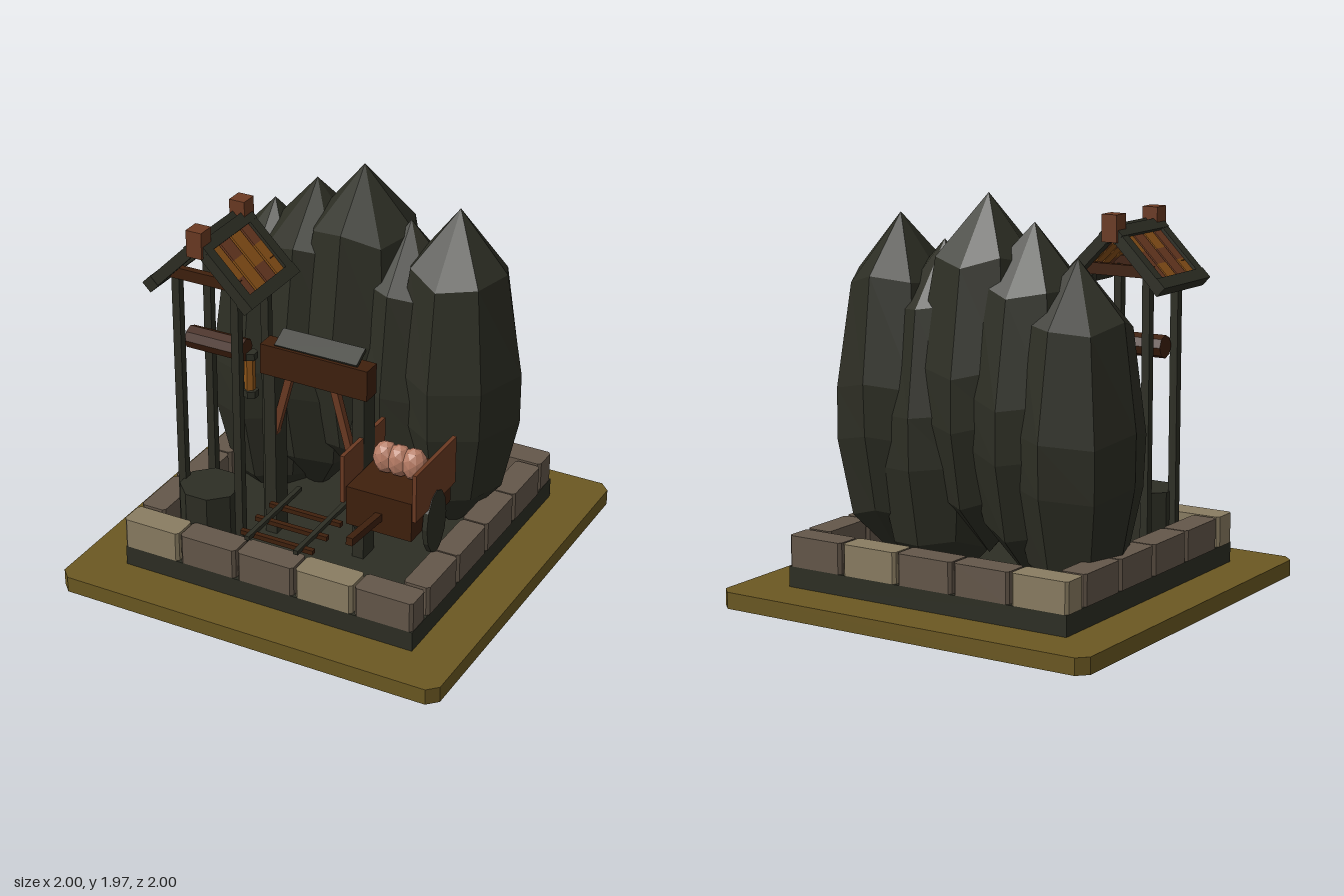
import * as THREE from 'three';

export function createModel() {
  const model = new THREE.Group();
  const mat = (name, color) => {
    const m = new THREE.MeshStandardMaterial({ color });
    m.name = name;
    return m;
  };
  const earth = mat('earth', 0x6b5822);
  const rock = mat('dark rock', 0x2d2e24);
  const stone = mat('stone', 0x64574a);
  const paleStone = mat('pale stone', 0x8a7d62);
  const darkWood = mat('dark wood', 0x3f200d);
  const redWood = mat('red wood', 0x6b3a22);
  const amber = mat('amber wood', 0x8a5218);
  const oreColor = mat('ore', 0xb47a63);

  // Adds a faceted mesh
  const add = (parent, name, geo, material, x = 0, y = 0, z = 0) => {
    const g = geo.index ? geo.toNonIndexed() : geo;
    g.computeVertexNormals();
    const mesh = new THREE.Mesh(g, material);
    mesh.name = name;
    mesh.position.set(x, y, z);
    parent.add(mesh);
    return mesh;
  };
  // Box given by its limits
  const box = (parent, name, material, x0, x1, y0, y1, z0, z1) =>
    add(parent, name, new THREE.BoxGeometry(x1 - x0, y1 - y0, z1 - z0), material,
      (x0 + x1) / 2, (y0 + y1) / 2, (z0 + z1) / 2);
  // Rectangular slab with cut vertical corners, standing on y
  const slab = (parent, name, material, x0, x1, y0, y1, z0, z1, c) => {
    const w = (x1 - x0) / 2, d = (z1 - z0) / 2;
    const pts = [[-w + c, -d], [w - c, -d], [w, -d + c], [w, d - c], [w - c, d], [-w + c, d], [-w, d - c], [-w, -d + c]];
    const geo = new THREE.ExtrudeGeometry(new THREE.Shape(pts.map(p => new THREE.Vector2(...p))),
      { depth: y1 - y0, bevelEnabled: false }).rotateX(-Math.PI / 2);
    return add(parent, name, geo, material, (x0 + x1) / 2, y0, (z0 + z1) / 2);
  };

  // Ground
  slab(model, 'base', earth, -1, 1, 0, 0.08, -1, 1, 0.05);
  box(model, 'foundation', rock, -0.765, 0.765, 0.08, 0.18, -0.765, 0.765);

  // Stone border
  const border = new THREE.Group();
  border.name = 'stoneBorder';
  model.add(border);
  for (let i = 0; i < 5; i++) {
    const x = -0.77 + i * 0.309;
    for (const z of [-0.765, 0.63]) {
      slab(border, 'borderStone', i % 3 === 0 ? paleStone : stone, x, x + 0.297, 0.18, 0.33, z, z + 0.135, 0.014);
    }
  }
  for (const x of [-0.77, 0.64]) {
    for (let i = 0; i < 4; i++) {
      const z = -0.613 + i * 0.308;
      slab(border, 'borderStone', stone, x, x + 0.13, 0.18, 0.33, z, z + 0.3, 0.014);
    }
  }

  // Rock spires: [x, tip height]
  const profile = [[0, -0.85], [0.24, -0.57], [0.32, -0.2], [0.325, 0.05], [0.25, 0.55], [0, 0.85]];
  [[-0.49, 1.67], [-0.26, 1.82], [-0.01, 1.94], [0.235, 1.71], [0.485, 1.82]].forEach(([x, top], k) => {
    const geo = new THREE.LatheGeometry(profile.map(p => new THREE.Vector2(...p)), 8);
    const p = geo.attributes.position;
    for (let i = 0; i < p.count; i++) {
      // Gentle unevenness that depends on position, so the seam stays closed
      const a = Math.atan2(p.getX(i), p.getZ(i)), y = p.getY(i);
      const s = 1 + 0.045 * Math.cos(2 * a + y * 2 + k) * (Math.abs(y) < 0.8 ? 1 : 0);
      p.setXYZ(i, p.getX(i) * s, y + (Math.abs(y) < 0.8 ? 0.03 * Math.sin(3 * a + k) : 0), p.getZ(i) * s);
    }
    add(model, 'rockSpire', geo, rock, x, top - 0.85, -0.23);
  });

  // Hoist tower
  const tower = new THREE.Group();
  tower.name = 'hoistTower';
  tower.position.set(-0.445, 0, 0.35);
  model.add(tower);
  for (const sx of [-1, 1]) {
    for (const sz of [-1, 1]) {
      box(tower, 'towerPost', rock, sx * 0.155 - 0.02, sx * 0.155 + 0.02, 0.18, 1.55, sz * 0.135 - 0.02, sz * 0.135 + 0.02);
    }
  }
  for (const sz of [-1, 1]) {
    box(tower, 'tieBeam', darkWood, -0.185, 0.185, 1.535, 1.59, sz * 0.145 - 0.017, sz * 0.145 + 0.017);
    box(tower, 'ridgePost', redWood, -0.04, 0.04, 1.7, 1.83, sz * 0.19 - 0.043, sz * 0.19 + 0.043);
  }
  // Open roof slopes with slats
  for (const s of [-1, 1]) {
    const slope = new THREE.Group();
    slope.name = 'roofSlope';
    slope.position.set(s * 0.135, 1.62, 0);
    slope.rotation.z = -s * Math.PI / 4;
    tower.add(slope);
    for (const e of [-1, 1]) {
      box(slope, 'rafter', rock, -0.18, 0.18, -0.027, 0.027, e * 0.19 - 0.028, e * 0.19 + 0.028);
      box(slope, 'roofRail', rock, e * 0.16 - 0.03, e * 0.16 + 0.03, -0.03, 0.03, -0.22, 0.22);
    }
    for (let i = 0; i < 4; i++) {
      const z = -0.14 + i * 0.093;
      const split = s * (i % 2 ? 0.045 : -0.035);
      box(slope, 'roofSlat', i % 2 ? amber : redWood, -0.14, split, -0.012, 0.012, z - 0.04, z + 0.04);
      box(slope, 'roofSlat', i % 2 ? redWood : amber, split, 0.14, -0.012, 0.012, z - 0.04, z + 0.04);
    }
  }
  // Winding drum and shaft mouth
  add(model, 'windingDrum', new THREE.CylinderGeometry(0.056, 0.056, 0.3, 8).rotateZ(Math.PI / 2), darkWood, -0.445, 1.185, 0.395);
  add(model, 'shaftMouth', new THREE.CylinderGeometry(0.15, 0.15, 0.29, 8).rotateY(Math.PI / 8), rock, -0.45, 0.325, 0.49);

  // Lantern
  add(model, 'lanternGlass', new THREE.CylinderGeometry(0.027, 0.027, 0.16, 6), amber, -0.295, 1.05, 0.368);
  for (const y of [0.95, 1.15]) {
    add(model, 'lanternCap', new THREE.CylinderGeometry(0.036, 0.036, 0.035, 6), rock, -0.29, y, 0.368);
  }

  // Mine entrance
  for (const s of [-1, 1]) {
    box(model, 'entrancePost', rock, 0.02 + s * 0.235 - 0.03, 0.02 + s * 0.235 + 0.03, 0.18, 1.13, 0.22, 0.33);
    const brace = add(model, 'entranceBrace', new THREE.BoxGeometry(0.035, 0.47, 0.035), redWood, s * 0.175, 0.83, 0.3);
    brace.rotation.z = s * 0.26;
  }
  const lintel = box(model, 'lintel', darkWood, -0.255, 0.305, 1.045, 1.2, 0.245, 0.34);
  lintel.rotation.z = -0.01;
  const canopy = add(model, 'canopyBoard', new THREE.BoxGeometry(0.43, 0.02, 0.1), rock, 0.03, 1.225, 0.28);
  canopy.rotation.x = 0.5;

  // Track
  for (const z of [0.37, 0.505, 0.64]) {
    box(model, 'sleeper', darkWood, -0.195, 0.19, 0.355, 0.378, z - 0.013, z + 0.013);
  }
  for (const x of [-0.13, 0.13]) {
    box(model, 'rail', rock, x - 0.012, x + 0.012, 0.37, 0.392, 0.2, 0.705);
  }

  // Ore cart
  const cart = new THREE.Group();
  cart.name = 'oreCart';
  cart.position.set(0.458, 0, 0.31);
  model.add(cart);
  box(cart, 'cartBody', darkWood, -0.168, 0.168, 0.48, 0.68, -0.205, 0.2);
  for (const s of [-1, 1]) {
    box(cart, 'cartSide', redWood, s * 0.185 - 0.01, s * 0.185 + 0.01, 0.595, 0.84, -0.2, 0.21);
    const wheel = add(cart, 'cartWheel', new THREE.CylinderGeometry(0.165, 0.165, 0.025, 12).rotateZ(Math.PI / 2),
      rock, s * 0.186, 0.492, 0);
    wheel.scale.z = 0.61;
  }
  const handle = add(cart, 'cartHandle', new THREE.BoxGeometry(0.034, 0.038, 0.32), darkWood, 0, 0.577, 0.325);
  handle.rotation.x = -0.09;
  for (const x of [-0.07, 0, 0.075]) {
    const lump = add(cart, 'oreLump', new THREE.IcosahedronGeometry(1, 1), oreColor, x, 0.757, -0.01);
    lump.scale.set(0.065, 0.082, 0.06);
  }
  return model;
}
